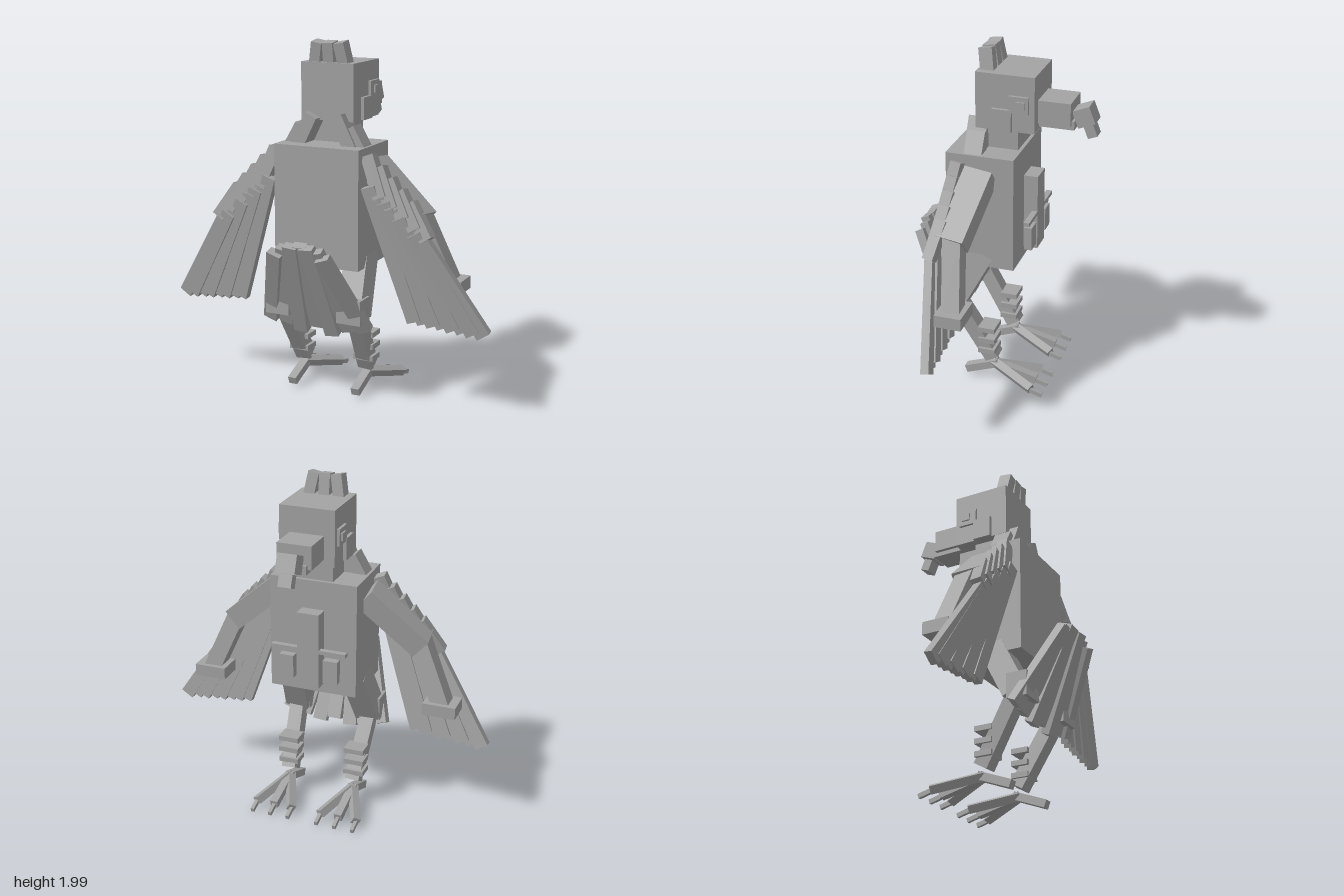
import * as THREE from 'three';

const grey = new THREE.MeshStandardMaterial({ color: 0xa3a3a3 });
grey.name = 'grey';

export function createModel() {
  const model = new THREE.Group();
  model.name = 'blockBird';

  // axis-aligned or tilted box around a centre
  const box = (name, size, pos, rot = [0, 0, 0]) => {
    const m = new THREE.Mesh(new THREE.BoxGeometry(...size), grey);
    m.name = name;
    m.position.set(...pos);
    m.rotation.set(...rot);
    model.add(m);
    return m;
  };

  // box running from a to b, w wide and d deep, its depth kept near the z axis
  const limb = (name, a, b, w, d) => {
    const A = new THREE.Vector3(...a), B = new THREE.Vector3(...b);
    const Y = B.clone().sub(A), len = Y.length();
    Y.normalize();
    const X = Y.clone().cross(new THREE.Vector3(0, 0, 1)).normalize();
    const Z = X.clone().cross(Y);
    const m = box(name, [w, len, d], A.add(B).multiplyScalar(0.5).toArray());
    m.quaternion.setFromRotationMatrix(new THREE.Matrix4().makeBasis(X, Y, Z));
    return m;
  };
  const mix = THREE.MathUtils.lerp;

  // body
  box('torso', [0.51, 0.665, 0.385], [0, 1.103, 0.0875]);
  box('neck', [0.22, 0.14, 0.17], [0, 1.495, 0]);
  box('head', [0.316, 0.315, 0.33], [0, 1.7175, -0.025]);

  // beak with hooked tip
  box('upperBeak', [0.195, 0.13, 0.18], [0, 1.665, -0.28]);
  box('lowerBeak', [0.15, 0.05, 0.195], [0, 1.6, -0.2875]);
  box('beakHook', [0.11, 0.1, 0.1], [0, 1.645, -0.43], [0.38, 0, 0]);
  box('beakTip', [0.075, 0.07, 0.055], [0, 1.563, -0.465], [0.38, 0, 0]);

  // crest
  for (const i of [-1, 0, 1]) {
    limb('crestFeather', [0.09 * i, 1.85, 0.085], [0.065 * i, 1.985, 0.105], 0.062, 0.075);
  }

  // chest ornament
  box('chestPost', [0.13, 0.44, 0.08], [0, 1.05, -0.145]);
  box('chestBar', [0.44, 0.022, 0.033], [0, 1.05, -0.1685]);

  // tail fan
  for (let i = -3; i <= 3; i++) {
    const dz = i % 2 ? 0.008 : -0.004;
    limb('tailFeather', [0.047 * i, 0.935 - 0.006 * i * i, 0.475 + dz],
      [0.097 * i, i % 2 ? 0.385 + 0.006 * i * i : 0.425, 0.25 + dz], 0.083, 0.05);
  }

  for (const s of [-1, 1]) {
    // face
    box('eyeRing', [0.02, 0.095, 0.11], [s * 0.164, 1.7175, -0.105]);
    box('eye', [0.02, 0.043, 0.05], [s * 0.174, 1.7175, -0.115]);
    box('cheek', [0.03, 0.125, 0.11], [s * 0.162, 1.6225, -0.01]);
    box('chestPlate', [0.085, 0.135, 0.045], [s * 0.13, 0.9375, -0.1625]);

    // collar feathers
    limb('collarFeather', [s * 0.075, 1.59, 0.14], [s * 0.165, 1.41, 0.14], 0.076, 0.11);
    limb('collarFeather', [s * 0.145, 1.53, 0.13], [s * 0.215, 1.41, 0.13], 0.07, 0.1);

    // wing arm
    limb('upperArm', [s * 0.25, 1.33, 0.08], [s * 0.565, 1.055, 0.137], 0.13, 0.16);
    limb('forearm', [s * 0.55, 1.09, 0.125], [s * 0.71, 0.72, 0.08], 0.1, 0.1);
    box('hand', [0.19, 0.07, 0.15], [s * 0.705, 0.715, 0.08]);

    // long wing feathers fanning outward
    const n = 8;
    for (let i = 0; i < n; i++) {
      const t = i / (n - 1), dz = (i % 2) * 0.008;
      limb('wingFeather', [s * mix(0.3, 0.61, t), mix(1.24, 0.97, t), 0.245 - dz],
        [s * mix(0.545, 0.935, t), mix(0.5, 0.47, t), 0.155 - dz + 0.01 * (1 - t)], 0.08, 0.045);
    }
    // short feathers covering the arm
    for (let i = 0; i < 5; i++) {
      const t = i / 4;
      limb('covertFeather', [s * mix(0.28, 0.52, t), mix(1.4, 1.16, t), 0.2],
        [s * mix(0.37, 0.64, t), mix(1.18, 0.98, t), 0.235], 0.075, 0.06);
    }

    // leg
    limb('thigh', [s * 0.185, 0.84, 0.08], [s * 0.22, 0.52, 0.25], 0.14, 0.14);
    box('hock', [0.145, 0.14, 0.12], [s * 0.22, 0.55, 0.27]);
    limb('shank', [s * 0.225, 0.52, 0.24], [s * 0.2, 0.157, 0.028], 0.085, 0.085);
    for (let i = 0; i < 3; i++) {
      box('legScute', [0.12, 0.03, 0.1], [s * 0.205, 0.355 - 0.07 * i, 0.055]);
    }

    // foot
    limb('backToe', [s * 0.2, 0.115, 0], [s * 0.2, 0.04, 0.195], 0.05, 0.045);
    for (const k of [-1, 0, 1]) {
      const x = s * 0.2 + k * 0.11;
      limb('frontToe', [s * 0.2, 0.11, 0.03], [x, 0.045, -0.23], 0.045, 0.045);
      limb('claw', [x, 0.04, -0.22], [x, 0.018, -0.297], 0.02, 0.025);
    }
  }
  return model;
}
